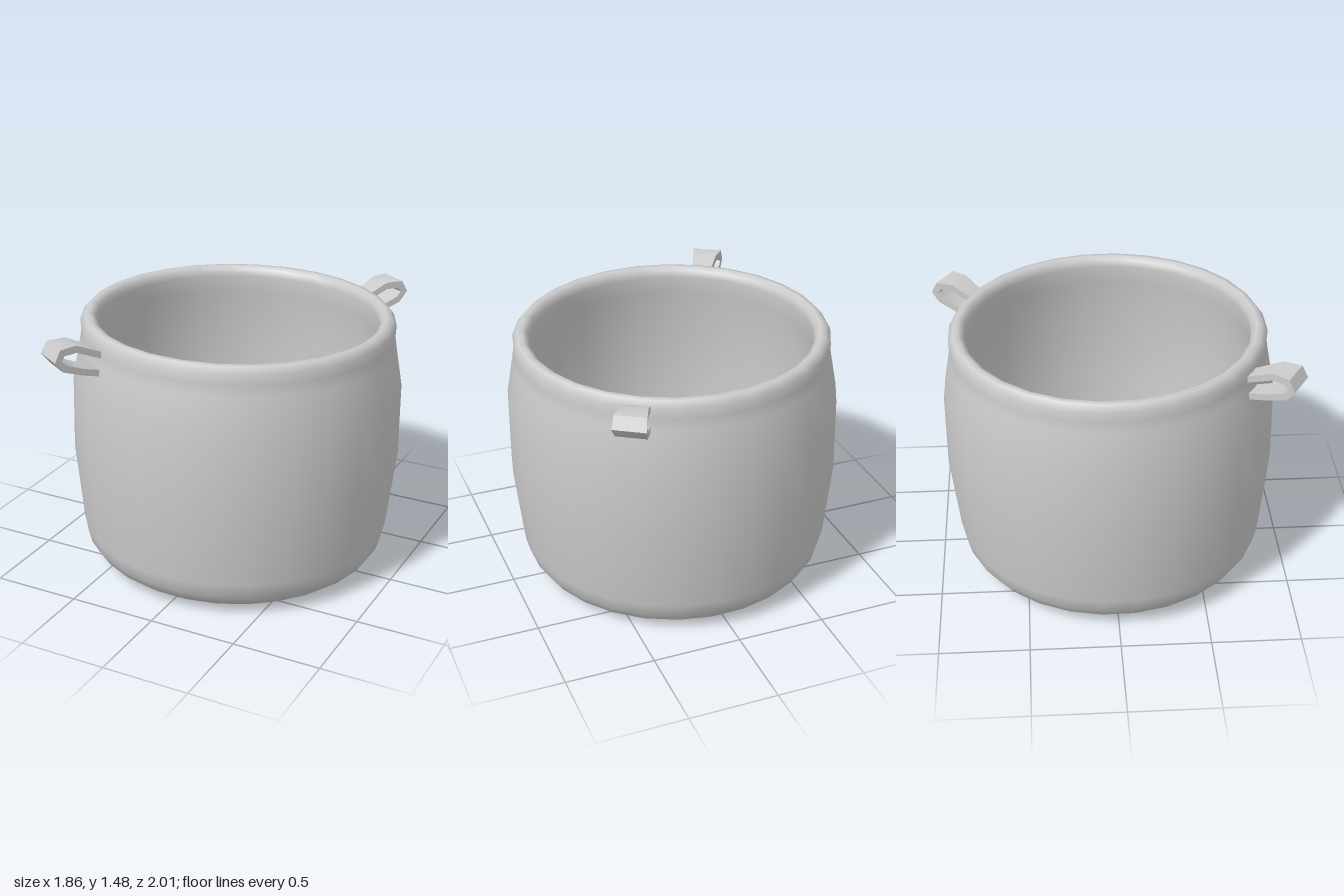
import * as THREE from 'three';
import { toCreasedNormals } from 'three/addons/utils/BufferGeometryUtils.js';

const material = new THREE.MeshStandardMaterial({ color: 0xcccccc });
const SIDES = 28;

const toPoints = (list) => list.map(([x, y]) => new THREE.Vector2(x, y));

// Pot wall: underside, bulging outside, rolled rim, inside wall and floor
function createPot() {
  const profile = toPoints([
    [0, 0.01], [0.69, 0.01], [0.77, 0.025], [0.83, 0.07], [0.87, 0.13], [0.89, 0.21],
    [0.935, 0.66], [0.93, 1.08], [0.888, 1.31], [0.878, 1.37], [0.882, 1.43], [0.855, 1.465],
    [0.825, 1.468], [0.797, 1.45], [0.79, 1.41], [0.795, 1.31], [0.835, 1.07],
    [0.84, 0.66], [0.8, 0.26], [0.775, 0.18], [0.71, 0.13], [0.62, 0.11], [0, 0.11],
  ]);
  const geometry = new THREE.LatheGeometry(profile, SIDES, Math.PI / SIDES);
  const pot = new THREE.Mesh(geometry, material);
  pot.name = 'pot';
  pot.rotation.set(-0.011, 0, -0.012); // stands slightly askew
  return pot;
}

// Strap handle: a bent loop in the radius/height plane, wider at its outer end
function createHandle(name, angle) {
  const outline = new THREE.Shape(toPoints([
    [0.84, 1.26], [0.98, 1.305], [1.09, 1.35], [1.135, 1.41], [1.1, 1.475], [1.0, 1.478], [0.84, 1.40],
    [0.84, 1.362], [1.0, 1.437], [1.075, 1.437], [1.093, 1.41], [1.07, 1.382], [0.97, 1.34], [0.84, 1.298],
  ]));
  const geometry = new THREE.ExtrudeGeometry(outline, { depth: 1, bevelEnabled: false });
  const position = geometry.attributes.position;
  for (let i = 0; i < position.count; i++) {
    const width = THREE.MathUtils.mapLinear(position.getX(i), 0.84, 1.135, 0.095, 0.18);
    position.setZ(i, (position.getZ(i) - 0.5) * width);
  }
  const handle = new THREE.Mesh(toCreasedNormals(geometry, 0.9), material);
  handle.name = name;
  handle.rotation.y = angle;
  return handle;
}

export function createModel() {
  const group = new THREE.Group();
  group.name = 'cookingPot';
  const angle = Math.atan2(0.957, 0.605);
  group.add(
    createPot(),
    createHandle('backHandle', angle),
    createHandle('frontHandle', angle + Math.PI),
  );
  return group;
}
